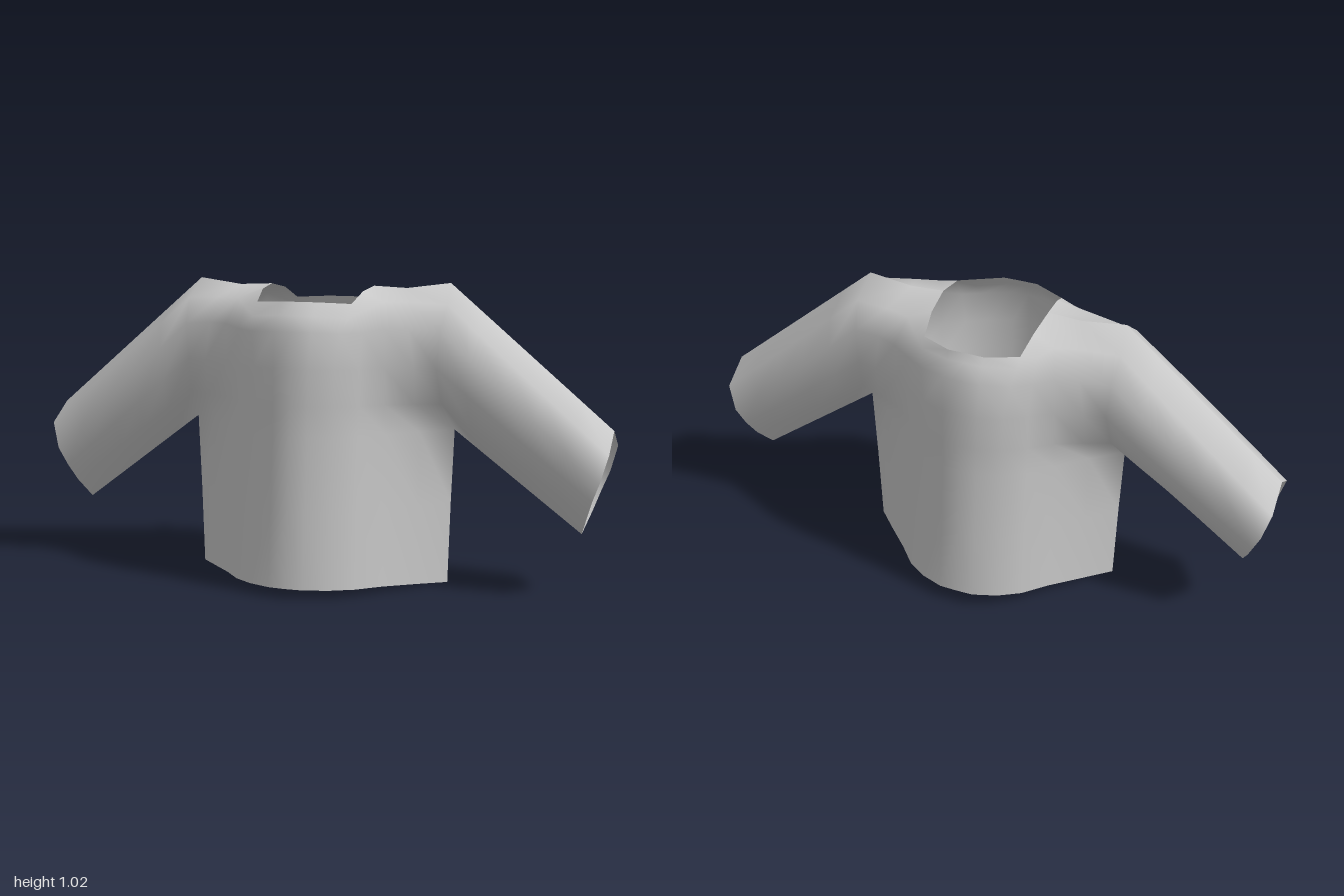
import * as THREE from 'three';

// Neckline and shoulder rows, from the centre out to the armhole: [x, y, z]
const YOKE = [
  [[0, .963, .225], [.06, .963, .225], [.165, .957, .18], [.178, .993, .1], [.185, 1.005, 0], [.3, 1, 0], [.45, 1.02, 0]],
  [[0, .92, .265], [.06, .92, .262], [.165, .912, .22], [.215, .94, .175], [.255, .962, .13], [.34, .962, .108], [.46, .955, .085]],
  [[0, .87, .297], [.065, .87, .292], [.155, .865, .258], [.215, .868, .222], [.28, .88, .188], [.35, .88, .158], [.45, .87, .134]],
];

// Chest-to-hem rows: height, depth at the centre, and the outer edge's x and z
const CHEST = [[.75, .31, .44, .14], [.63, .315, .45, .105], [.53, .32, .47, 0], [.28, .342, .46, 0], [0, .365, .452, 0]];

// Cross-section of the chest: x of each column and its share of the centre depth
const COLUMN_X = [0, .06, .14, .21, .28, .37];
const COLUMN_DEPTH = [1, .99, .9, .76, .53, .26];

// Half of the cuff, from the top ridge to the underarm seam
const CUFF = [[1, .555, 0], [1, .49, .102], [.975, .4, .116], [.95, .335, .095], [.93, .275, .06], [.905, .205, 0]];
const SLEEVE_STEPS = 5;
const BODY_COLS = COLUMN_X.length;
const ROWS = YOKE.length + CHEST.length;

function torsoPoint(row, col) {
  if (row < YOKE.length) return new THREE.Vector3(...YOKE[row][col]);
  const [y, depth, edgeX, edgeZ] = CHEST[row - YOKE.length];
  if (col === BODY_COLS) return new THREE.Vector3(edgeX, y, edgeZ);
  // the outer columns swell where the sleeve joins
  const swell = [.15, .55][col - BODY_COLS + 2] ?? 0;
  return new THREE.Vector3(COLUMN_X[col], y, depth * COLUMN_DEPTH[col] + edgeZ * swell);
}

// Point on the front half-surface; columns beyond the armhole run down the sleeve
function surfacePoint(row, col) {
  const p = torsoPoint(row, Math.min(col, BODY_COLS));
  if (col > BODY_COLS) {
    const t = (col - BODY_COLS) / SLEEVE_STEPS;
    p.lerp(new THREE.Vector3(...CUFF[row]), t);
    p.z *= 1 + .06 * Math.sin(Math.PI * t);
  }
  return p;
}

// One side of the garment, with normals shared by torso and sleeves
function buildSide(isBack, material) {
  const half = BODY_COLS + SLEEVE_STEPS;
  const positions = [];
  const ids = new Map();
  for (let row = 0; row < ROWS; row++) {
    const reach = row < CUFF.length ? half : BODY_COLS;
    for (let col = -reach; col <= reach; col++) {
      const p = surfacePoint(row, Math.abs(col));
      p.x *= Math.sign(col);
      // the hem arches up toward the centre, more so at the back
      if (row === ROWS - 1) p.y += (isBack ? .05 : .032) * (1 - (p.x / .452) ** 2);
      if (isBack) {
        // the back neckline sits lower and further out
        if (row === 0 && Math.abs(col) < 4) {
          p.y -= .067 * p.z;
          p.z *= 1.11;
        }
        p.z *= -1;
      }
      // the side and shoulder seams lie slightly behind the centre
      p.z -= .008 * Math.min(1, Math.abs(col) / BODY_COLS);
      ids.set(row + ',' + col, positions.length / 3);
      positions.push(p.x, p.y, p.z);
    }
  }

  // Sort the faces into body, left sleeve and right sleeve
  const faces = { Body: [], LeftSleeve: [], RightSleeve: [] };
  for (let row = 0; row < ROWS - 1; row++) {
    for (let col = -half; col < half; col++) {
      const [a, b, c, d] = [[0, 0], [1, 0], [1, 1], [0, 1]].map(([r, k]) => ids.get((row + r) + ',' + (col + k)));
      if ([a, b, c, d].includes(undefined)) continue;
      const part = col >= BODY_COLS ? 'LeftSleeve' : col < -BODY_COLS ? 'RightSleeve' : 'Body';
      // mirrored diagonals on the two halves
      const tris = col >= 0 ? [a, b, c, a, c, d] : [a, b, d, b, c, d];
      faces[part].push(...(isBack ? tris.reverse() : tris));
    }
  }

  const whole = new THREE.BufferGeometry();
  whole.setAttribute('position', new THREE.Float32BufferAttribute(positions, 3));
  whole.setIndex(Object.values(faces).flat());
  whole.computeVertexNormals();

  return Object.entries(faces).map(([part, index]) => {
    const geometry = new THREE.BufferGeometry();
    geometry.setAttribute('position', whole.getAttribute('position'));
    geometry.setAttribute('normal', whole.getAttribute('normal'));
    geometry.setIndex(index);
    const mesh = new THREE.Mesh(geometry, material);
    mesh.name = (isBack ? 'back' : 'front') + part;
    return mesh;
  });
}

export function createModel() {
  const fabric = new THREE.MeshStandardMaterial({ color: 0xcccccc, side: THREE.DoubleSide });
  fabric.name = 'light grey fabric';
  const shirt = new THREE.Group();
  shirt.name = 'shirt';
  shirt.add(...buildSide(false, fabric), ...buildSide(true, fabric));
  return shirt;
}
